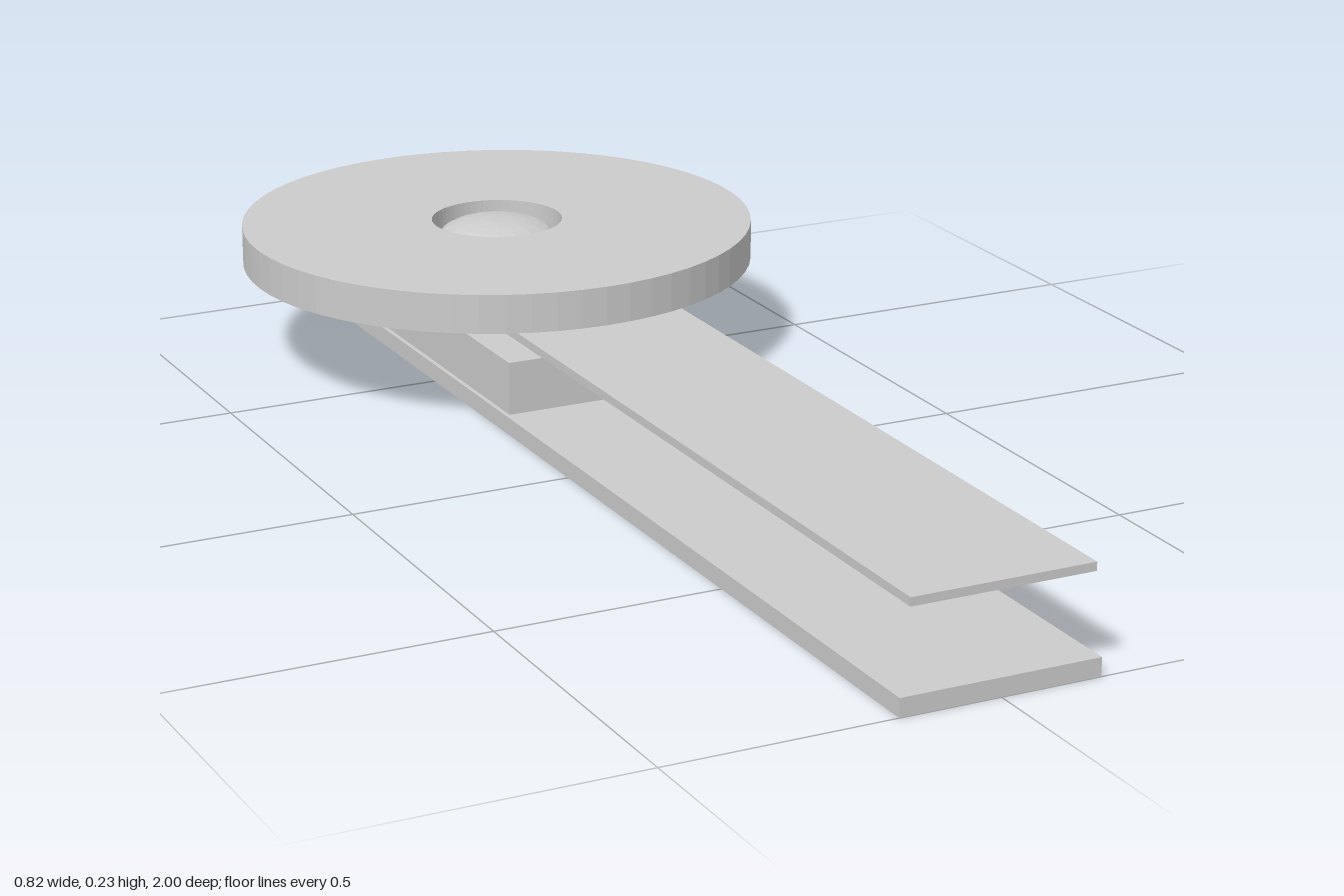
import * as THREE from 'three';

export function createModel() {
  const group = new THREE.Group();
  const mat = new THREE.MeshStandardMaterial({ color: 0xcccccc, flatShading: true });
  const discZ = -0.59;

  const add = (name, geometry) => {
    const mesh = new THREE.Mesh(geometry, mat);
    mesh.name = name;
    group.add(mesh);
    return mesh;
  };

  // Box given by half width, height range and depth range
  const slab = (name, halfW, y0, y1, z0, z1) =>
    add(name, new THREE.BoxGeometry(2 * halfW, y1 - y0, z1 - z0))
      .position.set(0, (y0 + y1) / 2, (z0 + z1) / 2);

  slab('basePlate', 0.153, 0, 0.028, -0.977, 1);
  slab('rearBlock', 0.146, 0.028, 0.112, -0.97, -0.225);
  slab('upperArm', 0.14, 0.152, 0.165, -0.71, 1);

  // Round disc with a central hole
  const ring = new THREE.Shape().absarc(0, 0, 0.41, 0, Math.PI * 2);
  ring.holes.push(new THREE.Path().absarc(0, 0, 0.105, 0, Math.PI * 2, true));
  const discGeo = new THREE.ExtrudeGeometry(ring, { depth: 0.062, bevelEnabled: false, curveSegments: 32 });
  discGeo.rotateX(-Math.PI / 2);
  add('disc', discGeo).position.set(0, 0.165, discZ);

  // Flattened button seated in the hole
  const button = add('button', new THREE.SphereGeometry(0.096, 16, 12));
  button.scale.y = 0.033 / 0.096;
  button.position.set(0, 0.196, discZ);

  return group;
}
